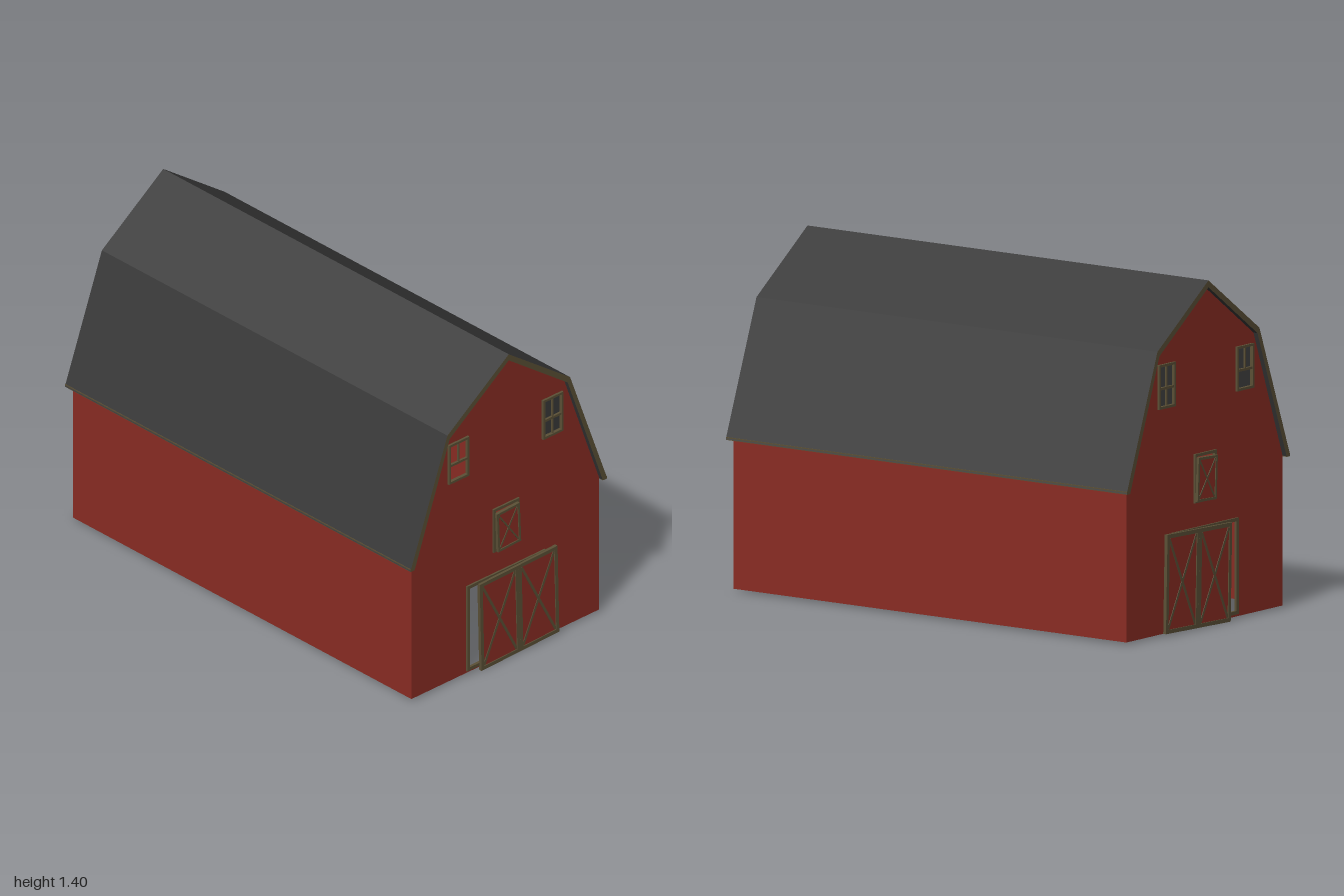
import * as THREE from 'three';

const mat = (name, color, side = THREE.FrontSide) => {
  const m = new THREE.MeshStandardMaterial({ color, side });
  m.name = name;
  return m;
};

export function createModel() {
  const red = mat('barn red', 0x8a2c23, THREE.DoubleSide);
  const grey = mat('roof grey', 0x393939);
  const brown = mat('trim brown', 0x5b5036);
  const barn = new THREE.Group();
  barn.name = 'barn';

  const add = (parent, name, geometry, material, x = 0, y = 0, z = 0) => {
    const mesh = new THREE.Mesh(geometry, material);
    mesh.name = name;
    mesh.position.set(x, y, z);
    parent.add(mesh);
    return mesh;
  };
  const group = (parent, name, x, y, z) => {
    const g = new THREE.Group();
    g.name = name;
    g.position.set(x, y, z);
    parent.add(g);
    return g;
  };
  const box = (parent, name, w, h, d, material, x, y, z = 0) =>
    add(parent, name, new THREE.BoxGeometry(w, h, d), material, x, y, z);

  // Rectangular border of four bars, centred on its parent
  const border = (parent, name, w, h, t, d) => {
    for (const s of [-1, 1]) {
      box(parent, name, t, h, d, brown, s * (w - t) / 2, 0);
      box(parent, name, w - 2 * t, t, d, brown, 0, s * (h - t) / 2);
    }
  };

  // Red panel with a border and a cross brace showing on both faces
  const bracedDoor = (parent, name, w, h, t, x, y) => {
    const door = group(parent, name, x, y, 0);
    box(door, 'doorPanel', w - 0.004, h - 0.004, 0.006, red, 0, 0);
    border(door, 'doorBorder', w, h, t, 0.014);
    const iw = w - 2 * t, ih = h - 2 * t;
    for (const s of [-1, 1]) {
      const brace = box(door, 'crossBrace', t * 0.7, Math.hypot(iw, ih) - t * 0.5, 0.011, brown, 0, 0);
      brace.rotation.z = s * Math.atan2(iw, ih);
    }
  };

  // Gambrel roof slab: grey surfaces, brown gable ends
  const outer = [[-0.537, 0.615], [-0.335, 1.16], [0, 1.4], [0.335, 1.16], [0.537, 0.615]];
  const inner = [[0.513, 0.615], [0.322, 1.14], [0, 1.372], [-0.322, 1.14], [-0.513, 0.615]];
  const slab = new THREE.Shape([...outer, ...inner].map(p => new THREE.Vector2(...p)));
  const roof = new THREE.ExtrudeGeometry(slab, { depth: 2, bevelEnabled: false });
  add(barn, 'roof', roof, [brown, grey], 0, 0, -1);

  // Side walls and eave boards
  for (const s of [-1, 1]) {
    const wall = add(barn, 'sideWall', new THREE.PlaneGeometry(1.96, 0.61), red, s * 0.513, 0.315, 0);
    wall.rotation.y = s * Math.PI / 2;
    box(barn, 'eaveBoard', 0.022, 0.012, 2, brown, s * 0.5245, 0.618);
  }

  // Gable wall with real openings
  const gable = new THREE.Shape([
    [-0.513, 0.01], [0.513, 0.01], [0.513, 0.62], [0.33, 1.15], [0, 1.385], [-0.33, 1.15], [-0.513, 0.62],
  ].map(p => new THREE.Vector2(...p)));
  const openings = [
    [-0.203, 0.03, 0.203, 0.398], [-0.06, 0.52, 0.06, 0.695],
    [-0.307, 0.928, -0.213, 1.092], [0.207, 0.928, 0.301, 1.092],
  ];
  for (const [x0, y0, x1, y1] of openings) {
    gable.holes.push(new THREE.Path([[x0, y0], [x0, y1], [x1, y1], [x1, y0]].map(p => new THREE.Vector2(...p))));
  }

  // Both ends carry the same doors and windows
  for (const s of [-1, 1]) {
    const end = group(barn, s > 0 ? 'frontEnd' : 'backEnd', 0, 0, 0);
    add(end, 'gableWall', new THREE.ShapeGeometry(gable), red, 0, 0, s * 0.98);

    // Frames around the main and loft doorways
    border(group(end, 'mainDoorFrame', 0, 0.215, s * 0.982), 'frameBar', 0.43, 0.39, 0.014, 0.012);
    border(group(end, 'loftDoorFrame', 0, 0.607, s * 0.982), 'frameBar', 0.142, 0.198, 0.012, 0.012);

    // Pair of sagging main doors, slid aside
    const doors = group(end, 'mainDoors', 0.06, 0.2055, s * 0.992);
    doors.rotation.z = 0.025;
    for (const k of [-1, 1]) bracedDoor(doors, 'mainDoor', 0.2125, 0.4, 0.016, k * 0.1063, 0);

    // Crooked loft door
    const loft = group(end, 'loftDoor', 0.003, 0.6, s * 0.992);
    loft.rotation.z = 0.045;
    bracedDoor(loft, 'loftDoorLeaf', 0.125, 0.178, 0.01, 0, 0);

    // Windows: one has lost its lower upright
    for (const [x, broken] of [[-0.26, true], [0.254, false]]) {
      const win = group(end, 'window', x, 1.01, s * 0.983);
      border(win, 'windowFrame', 0.11, 0.18, 0.01, 0.014);
      box(win, 'crossBar', 0.092, 0.01, 0.01, brown, 0, -0.008);
      box(win, 'upperBar', 0.007, 0.088, 0.008, brown, 0, 0.04);
      if (!broken) box(win, 'lowerBar', 0.007, 0.074, 0.008, brown, 0, -0.047);
    }
  }
  return barn;
}
